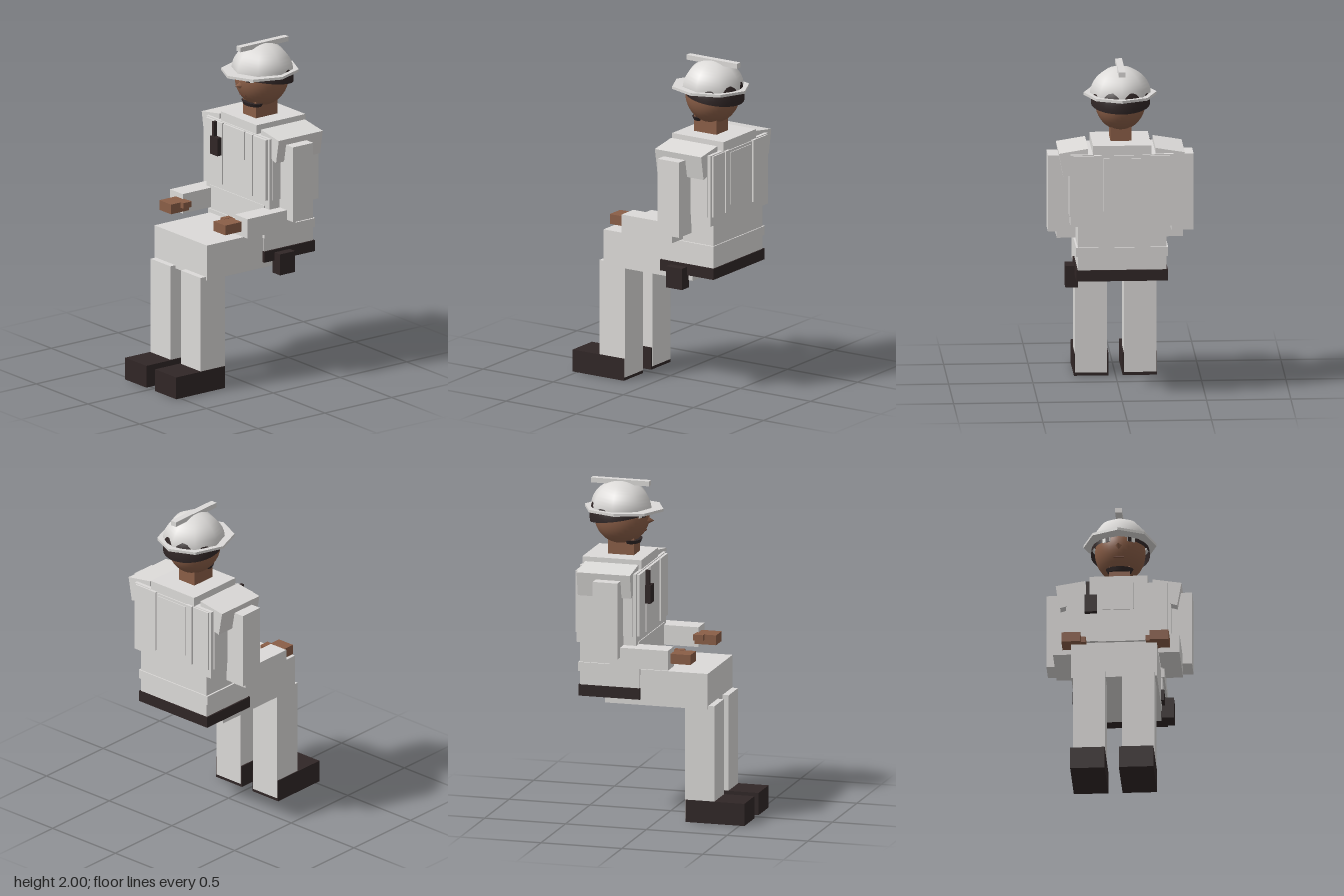
import * as THREE from 'three';

const mat = (name, color) => Object.assign(new THREE.MeshStandardMaterial({ color }), { name });

export function createModel() {
  const group = new THREE.Group();
  const cloth = mat('light grey', 0xdcdad8);
  const skin = mat('brown skin', 0x8a5e47);
  const dark = mat('dark brown', 0x302626);
  const eyeWhite = mat('eye white', 0xe8e6e2);
  const lip = mat('lip brown', 0x6a4030);

  const add = (name, geo, m, x = 0, y = 0, z = 0) => {
    const mesh = new THREE.Mesh(geo, m);
    mesh.name = name;
    mesh.position.set(x, y, z);
    group.add(mesh);
    return mesh;
  };
  // Box given by its limits on each axis
  const box = (name, m, x0, x1, y0, y1, z0, z1) =>
    add(name, new THREE.BoxGeometry(x1 - x0, y1 - y0, z1 - z0), m, (x0 + x1) / 2, (y0 + y1) / 2, (z0 + z1) / 2);
  // Same box on the left and mirrored on the right
  const pair = (name, m, x0, x1, ...rest) => {
    box(name + 'Left', m, x0, x1, ...rest);
    box(name + 'Right', m, -x1, -x0, ...rest);
  };

  // Legs and seated hips
  pair('boot', dark, 0.042, 0.247, 0, 0.135, 0.165, 0.53);
  pair('shin', cloth, 0.05, 0.242, 0.02, 0.715, 0.16, 0.343);
  box('thighs', cloth, -0.254, 0.254, 0.695, 0.912, -0.33, 0.305);
  box('belt', dark, -0.272, 0.272, 0.73, 0.797, -0.49, -0.11);
  box('holster', dark, 0.25, 0.325, 0.65, 0.78, -0.3, -0.187);

  // Torso and vest
  box('lowerTorso', cloth, -0.262, 0.262, 0.795, 1.08, -0.483, -0.117);
  box('jacketBand', cloth, -0.273, 0.273, 0.88, 0.935, -0.49, -0.11);
  box('vest', cloth, -0.305, 0.305, 1.065, 1.5, -0.492, -0.122);
  box('vestFrontPlate', cloth, -0.29, 0.29, 1.12, 1.495, -0.13, -0.105);
  box('vestBackPlate', cloth, -0.29, 0.29, 1.12, 1.495, -0.502, -0.485);
  box('vestSidePlate', cloth, -0.311, 0.311, 1.12, 1.495, -0.47, -0.145);
  box('chestPanel', cloth, -0.092, 0.092, 1.325, 1.5, -0.11, -0.099);
  box('backPanel', cloth, -0.11, 0.11, 1.16, 1.48, -0.507, -0.495);
  pair('frontStrap', cloth, 0.12, 0.168, 1.12, 1.5, -0.11, -0.098);
  pair('backStrap', cloth, 0.12, 0.168, 1.12, 1.5, -0.511, -0.495);
  box('collar', cloth, -0.173, 0.173, 1.49, 1.555, -0.495, -0.13);
  box('radio', dark, -0.198, -0.125, 1.3, 1.41, -0.1, -0.066);
  box('radioAntenna', dark, -0.19, -0.17, 1.4, 1.5, -0.1, -0.075);

  // Shoulder pads with sloped tops and ends
  for (const s of [1, -1]) {
    const shape = new THREE.Shape([[0.2, 1.5], [0.31, 1.37], [0.347, 1.36], [0.373, 1.505], [0.2, 1.533]]
      .map(([x, y]) => new THREE.Vector2(s * x, y)));
    add(s > 0 ? 'shoulderPadLeft' : 'shoulderPadRight',
      new THREE.ExtrudeGeometry(shape, { depth: 0.33, bevelEnabled: false }), cloth, 0, 0, -0.47);
  }

  // Arms and hands
  pair('upperArm', cloth, 0.3, 0.432, 1.005, 1.468, -0.352, -0.2);
  pair('forearm', cloth, 0.252, 0.375, 0.945, 1.065, -0.265, 0.095);
  pair('hand', skin, 0.206, 0.318, 0.975, 1.035, 0.085, 0.218);
  pair('thumb', skin, 0.178, 0.215, 1.002, 1.037, 0.085, 0.146);

  // Head
  box('neck', skin, -0.062, 0.062, 1.545, 1.66, -0.37, -0.21);
  add('head', new THREE.SphereGeometry(1, 32, 24), skin, 0, 1.78, -0.302).scale.set(0.15, 0.17, 0.166);
  const nose = add('nose', new THREE.ConeGeometry(0.025, 0.045, 4), skin, 0, 1.76, -0.124);
  nose.rotation.x = Math.PI / 2;
  box('mouth', lip, -0.03, 0.03, 1.692, 1.698, -0.166, -0.157);
  for (const s of [1, -1]) {
    const eye = add('eyeWhite', new THREE.BoxGeometry(0.05, 0.026, 0.009), eyeWhite, s * 0.072, 1.803, -0.157);
    const pupil = add('pupil', new THREE.BoxGeometry(0.025, 0.026, 0.009), dark, s * 0.064, 1.803, -0.15);
    eye.rotation.y = pupil.rotation.y = s * 0.5;
  }
  const chin = add('chinStrap', new THREE.CylinderGeometry(1, 0.85, 0.022, 24), dark, 0, 1.633, -0.232);
  chin.scale.set(0.082, 1, 0.052);

  // Hair, a tilted cap under the helmet
  const hairMat = dark.clone();
  hairMat.name = 'hair';
  hairMat.side = THREE.DoubleSide;
  const hair = add('hair', new THREE.SphereGeometry(1, 32, 12, 0, Math.PI * 2, 0, Math.PI / 2), hairMat, 0, 1.773, -0.317);
  hair.scale.set(0.175, 0.192, 0.178);
  hair.rotation.x = -0.16;

  // Helmet: eight-sided dome, brim and crest
  const dome = add('helmetDome', new THREE.SphereGeometry(1, 8, 12, 0, Math.PI * 2, 0, Math.PI / 2), cloth, 0, 1.828, -0.306);
  dome.scale.set(0.181, 0.165, 0.187);
  const ring = new THREE.Shape();
  const hole = new THREE.Path();
  for (let i = 0; i < 8; i++) {
    const a = i * Math.PI / 4, c = Math.cos(a), d = Math.sin(a);
    ring[i ? 'lineTo' : 'moveTo'](0.216 * c, 0.243 * d);
    hole[i ? 'lineTo' : 'moveTo'](0.165 * c, 0.17 * d + 0.015);
  }
  ring.holes.push(hole);
  const brim = add('helmetBrim', new THREE.ExtrudeGeometry(ring, { depth: 0.016, bevelEnabled: false }), cloth, 0, 1.819, -0.288);
  brim.rotation.x = -Math.PI / 2;
  box('helmetCrest', cloth, -0.02, 0.02, 1.97, 2, -0.488, -0.128);

  return group;
}
